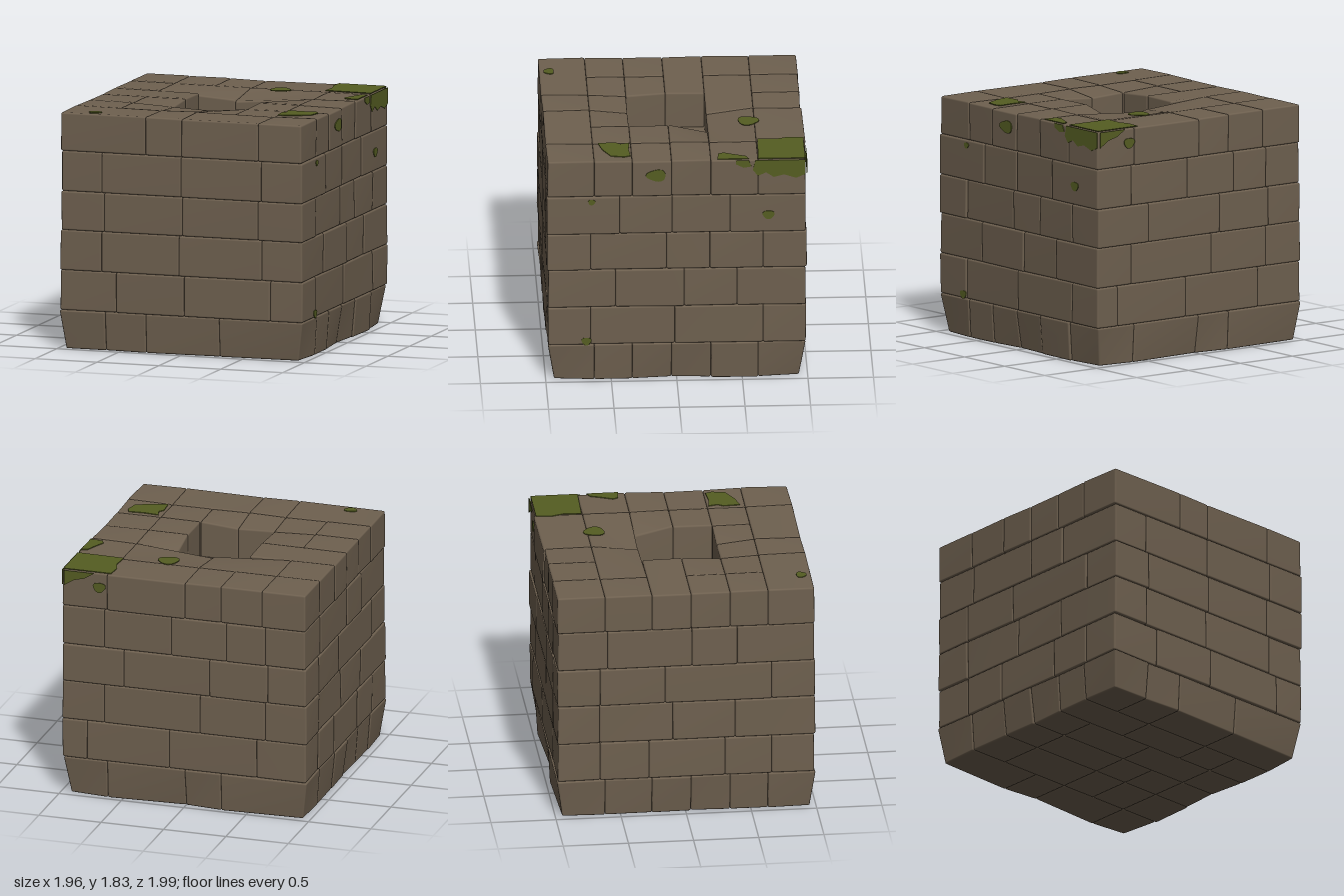
import * as THREE from 'three';
import { mergeGeometries, mergeVertices } from 'three/addons/utils/BufferGeometryUtils.js';
import { RoundedBoxGeometry } from 'three/addons/geometries/RoundedBoxGeometry.js';

const HX = 0.975, HZ = 0.988, TOP = 1.823;
const XS = [-HX, -0.62, -0.29, 0, 0.3, 0.62, HX];
const ZS = [-HZ, -0.62, -0.26, 0.04, 0.34, 0.63, HZ];
const YS = [0, 0.3, 0.61, 0.92, 1.22, 1.53, TOP];

function seeded(seed) {
  return () => {
    seed = (seed * 1664525 + 1013904223) % 4294967296;
    return seed / 4294967296;
  };
}

export function createModel() {
  const group = new THREE.Group();
  const rnd = seeded(41);
  const stone = new THREE.MeshStandardMaterial({ color: 0x6e604f });
  const moss = new THREE.MeshStandardMaterial({ color: 0x555d22 });
  stone.name = 'brown stone';
  moss.name = 'green moss';

  // Worn stone: gentle hollows, chipped foot and a sagging lip behind the well
  function wear(p) {
    const n = 0.5 + 0.5 * Math.sin(p.x * 7.1 + p.y * 5.3 + 1) * Math.cos(p.z * 6.3 - p.y * 9.1);
    const bite = 0.009 * n;
    const foot = p.y < 0.04 ? 0.015 + 0.025 * n : 0;
    if (Math.abs(p.x) > HX - 0.04) p.x -= Math.sign(p.x) * (bite + foot);
    if (Math.abs(p.z) > HZ - 0.04) p.z -= Math.sign(p.z) * (bite + foot);
    if (p.y > TOP - 0.05) {
      p.y -= bite * 0.7;
      p.y -= 0.1 * Math.exp(-(((p.x - 0.17) / 0.2) ** 2) - ((p.z + 0.26) / 0.08) ** 2);
      p.y -= 0.03 * Math.exp(-(((p.x + 0.1) / 0.25) ** 2) - ((p.z - 0.34) / 0.08) ** 2);
    }
  }

  // One rounded brick between two corners; its outer faces stand out unevenly
  function brick(x0, x1, y0, y1, z0, z1) {
    const out = () => -0.004 + 0.013 * rnd();
    if (x0 <= -HX) x0 -= out();
    if (x1 >= HX) x1 += out();
    if (z0 <= -HZ) z0 -= out();
    if (z1 >= HZ) z1 += out();
    if (y1 >= TOP) y1 += 0.008 * rnd();
    let g = new RoundedBoxGeometry(x1 - x0, y1 - y0, z1 - z0, 2, 0.014);
    g.translate((x0 + x1) / 2, (y0 + y1) / 2, (z0 + z1) / 2);
    g.deleteAttribute('normal');
    g.deleteAttribute('uv');
    g.clearGroups();
    g = mergeVertices(g, 1e-4);
    const pos = g.attributes.position, p = new THREE.Vector3();
    for (let i = 0; i < pos.count; i++) {
      p.fromBufferAttribute(pos, i);
      wear(p);
      pos.setXYZ(i, p.x, p.y, p.z);
    }
    g.computeVertexNormals();
    return g;
  }

  function add(name, geometry, material) {
    const mesh = new THREE.Mesh(geometry, material);
    mesh.name = name;
    group.add(mesh);
  }

  // Cut a run into bricks of uneven length
  function cuts(a, b) {
    const list = [a];
    let at = a;
    while (b - at > 0.85) list.push(at += 0.3 + 0.4 * rnd());
    list.push(b);
    return list;
  }

  // Wall courses, with the corners overlapping alternately
  const t = 0.33;
  for (let c = 1; c < 5; c++) {
    const parts = [], y0 = YS[c], y1 = YS[c + 1], odd = c % 2;
    const ex = odd ? HX : HX - t, ez = odd ? HZ - t : HZ;
    for (const s of [-1, 1]) {
      const xs = cuts(-ex, ex), zs = cuts(-ez, ez);
      for (let i = 0; i + 1 < xs.length; i++) {
        parts.push(brick(xs[i], xs[i + 1], y0, y1, s < 0 ? -HZ : HZ - t, s < 0 ? -HZ + t : HZ));
      }
      for (let i = 0; i + 1 < zs.length; i++) {
        parts.push(brick(s < 0 ? -HX : HX - t, s < 0 ? -HX + t : HX, y0, y1, zs[i], zs[i + 1]));
      }
    }
    add('wallCourse' + c, mergeGeometries(parts), stone);
  }

  // Bottom and top slabs of paving bricks; the top leaves a square well open
  for (const c of [0, 5]) {
    const parts = [];
    const open = (i, j) => c === 5 && (i === 2 || i === 3) && (j === 2 || j === 3);
    for (let j = 0; j < 6; j++) {
      for (let i = 0; i < 6; i++) {
        if (open(i, j)) continue;
        const start = i;
        if (i < 5 && !open(i + 1, j) && rnd() < 0.45) i++;
        parts.push(brick(XS[start], XS[i + 1], YS[c], YS[c + 1], ZS[j], ZS[j + 1]));
      }
    }
    add(c ? 'topBricks' : 'bottomBricks', mergeGeometries(parts), stone);
  }

  // Solid core, whose top is the floor of the well
  const core = new THREE.BoxGeometry(1.8, 1.44, 1.8);
  core.translate(0, 0.815, 0);
  add('core', core, stone);

  // Moss plates: drawn flat, then turned onto a face
  const faces = {
    top: g => g.rotateX(-Math.PI / 2).translate(0, TOP + 0.003, 0),
    right: g => g.rotateY(Math.PI / 2).translate(HX + 0.002, 0, 0),
    back: g => g.rotateY(Math.PI).translate(0, 0, -HZ - 0.002),
  };
  function patch(face, points) {
    const shape = new THREE.Shape(points.map(([x, y]) => new THREE.Vector2(x, y)));
    add(face + 'Moss', faces[face](new THREE.ExtrudeGeometry(shape, { depth: 0.006, bevelEnabled: false })), moss);
  }
  function spot(face, cx, cy, rx, ry) {
    const points = [];
    for (let i = 0; i < 18; i++) {
      const a = i / 18 * Math.PI * 2, r = 1 + 0.1 * Math.sin(3 * a + cx * 9);
      points.push([cx + rx * r * Math.cos(a), cy + ry * r * Math.sin(a)]);
    }
    patch(face, points);
  }

  // Top face, drawn as x and -z
  patch('top', [[0.6, 0.63], [0.97, 0.62], [0.97, 0.98], [0.59, 0.98], [0.58, 0.86], [0.61, 0.77]]);
  patch('top', [[0.97, 0.31], [0.97, 0.55], [0.92, 0.53], [0.89, 0.45], [0.85, 0.36], [0.87, 0.32]]);
  patch('top', [[0.64, -0.59], [0.63, -0.46], [0.66, -0.42], [0.64, -0.35], [0.76, -0.36],
    [0.88, -0.35], [0.9, -0.4], [0.88, -0.5], [0.76, -0.56]]);
  spot('top', 0.26, 0.57, 0.08, 0.08);
  spot('top', -0.72, -0.91, 0.05, 0.04);

  // Right face, drawn as -z and y
  patch('right', [[0.6, 1.82], [0.58, 1.74], [0.62, 1.69], [0.68, 1.72], [0.74, 1.68],
    [0.82, 1.7], [0.91, 1.67], [0.98, 1.7], [0.98, 1.82]]);
  patch('right', [[0.45, 1.82], [0.45, 1.79], [0.51, 1.76], [0.57, 1.77], [0.55, 1.82]]);
  spot('right', -0.155, 1.705, 0.075, 0.048);
  spot('right', -0.65, 1.49, 0.027, 0.023);
  spot('right', 0.7, 1.365, 0.045, 0.035);
  spot('right', -0.69, 0.33, 0.037, 0.032);

  // Back face, drawn as -x and y
  patch('back', [[-0.96, 1.82], [-0.96, 1.7], [-0.88, 1.75], [-0.8, 1.77], [-0.72, 1.82]]);
  spot('back', -0.68, 1.71, 0.05, 0.04);

  return group;
}
